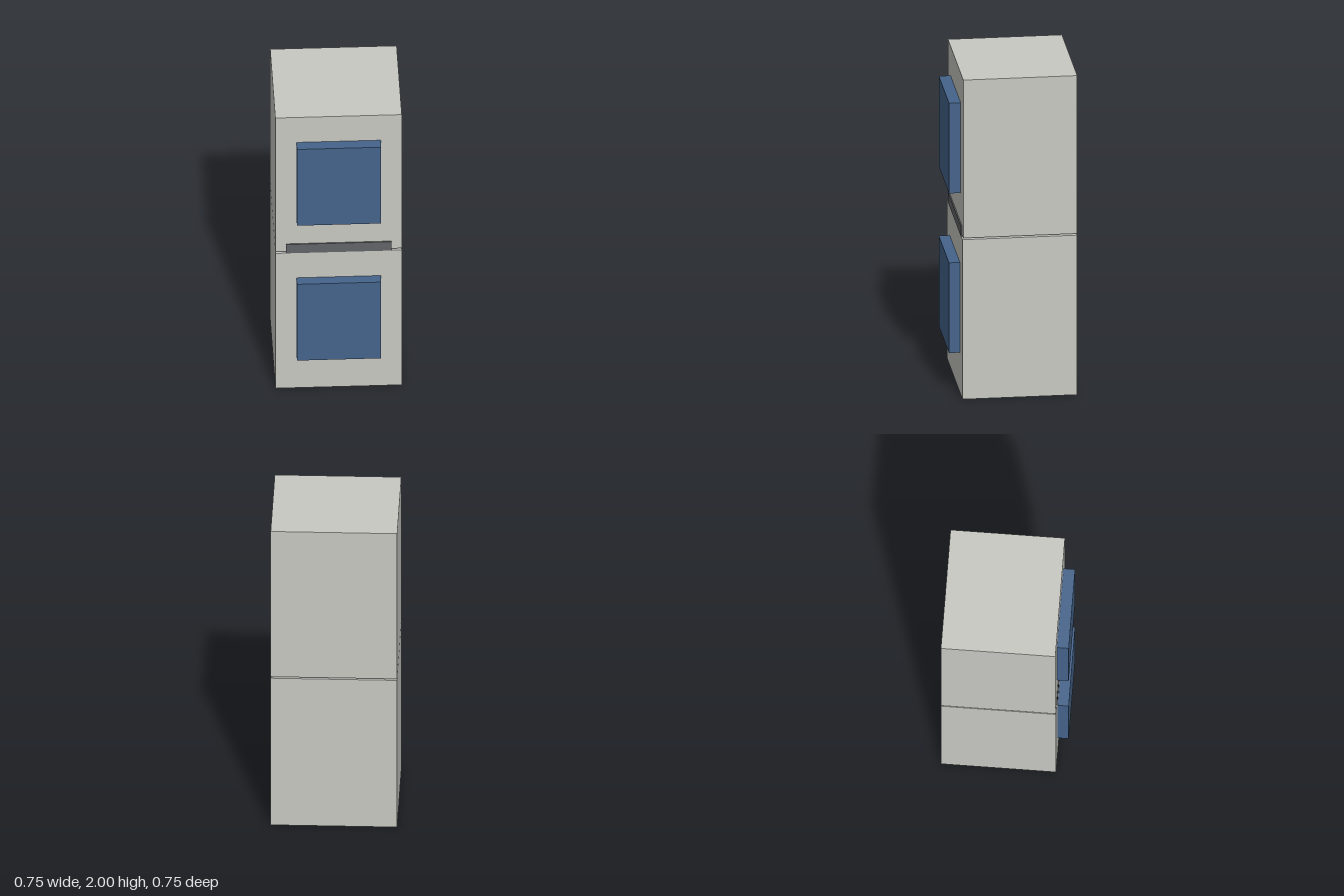
import * as THREE from 'three';

// BoxGeometry face order: +x, -x, +y, -y, +z, -z (six indices each)
const BOTTOM = 3, BACK = 5;

// Box between two corners with one face left open
function openBox(name, material, min, max, openFace) {
  const size = max.map((v, i) => v - min[i]);
  const geometry = new THREE.BoxGeometry(...size);
  const index = Array.from(geometry.index.array);
  index.splice(openFace * 6, 6);
  geometry.setIndex(index);
  geometry.clearGroups();
  const mesh = new THREE.Mesh(geometry, material);
  mesh.position.set(...max.map((v, i) => (v + min[i]) / 2));
  mesh.name = name;
  return mesh;
}

function makeMaterial(name, color) {
  const material = new THREE.MeshStandardMaterial({ color, side: THREE.DoubleSide });
  material.name = name;
  return material;
}

export function createModel() {
  const group = new THREE.Group();
  group.name = 'stackedCabinet';
  const grey = makeMaterial('light grey casing', 0xc8c8c3);
  const blue = makeMaterial('blue panel', 0x45648b);
  const dark = makeMaterial('dark grey spacer', 0x636468);

  // Two stacked casings, hollow from below, with a thin gap between them
  group.add(openBox('lowerCasing', grey, [-0.375, 0, -0.375], [0.375, 1.0, 0.31], BOTTOM));
  group.add(openBox('upperCasing', grey, [-0.375, 1.01, -0.375], [0.375, 2, 0.305], BOTTOM));

  // Inset spacer whose front edge shows as a dark slot
  group.add(openBox('spacer', dark, [-0.3125, 1.0, -0.3125], [0.3125, 1.065, 0.3125], BOTTOM));

  // Raised door panels, open at the back and set through the front walls
  [['lowerPanel', 0], ['upperPanel', 1]].forEach(([name, y]) => {
    group.add(openBox(name, blue, [-0.25, y + 0.25, 0.25], [0.25, y + 0.815, 0.375], BACK));
  });

  return group;
}
